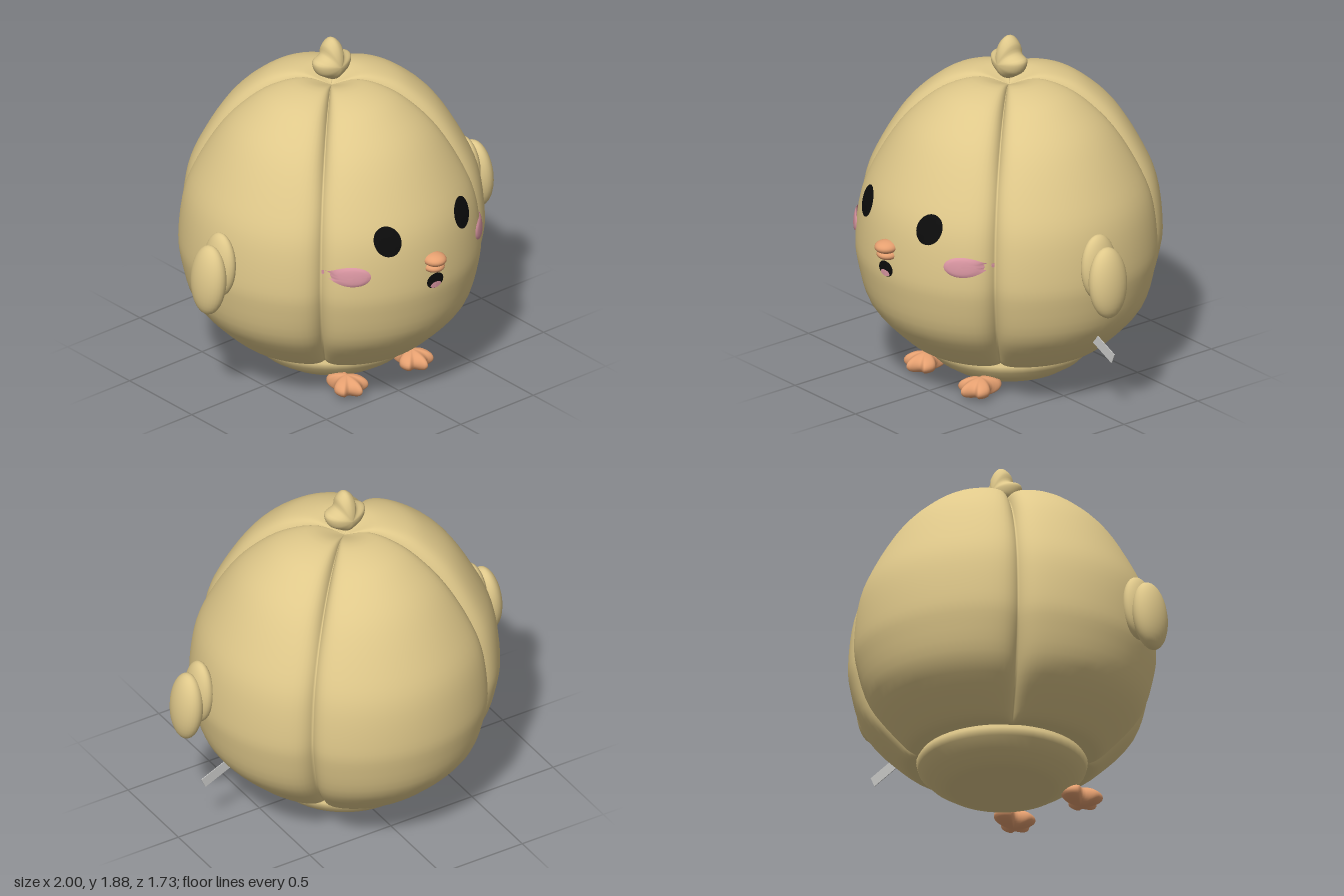
import * as THREE from 'three';

const mat = (name, color, side = THREE.FrontSide) => {
  const m = new THREE.MeshStandardMaterial({ color, side });
  m.name = name;
  return m;
};

// Closed-around surface: fn(row 0..1, column index) gives a point
function wrapGrid(rows, cols, fn) {
  const pos = [], idx = [];
  for (let j = 0; j <= rows; j++)
    for (let i = 0; i < cols; i++) pos.push(...fn(j / rows, i));
  for (let j = 0; j < rows; j++)
    for (let i = 0; i < cols; i++) {
      const k = (i + 1) % cols;
      const a = j * cols + i, b = j * cols + k, c = b + cols, d = a + cols;
      idx.push(a, b, c, a, c, d);
    }
  const g = new THREE.BufferGeometry();
  g.setAttribute('position', new THREE.Float32BufferAttribute(pos, 3));
  g.setIndex(idx);
  g.computeVertexNormals();
  return g;
}

// Stuffed cushion from the left half of a symmetric outline, top to bottom
function pillow(half, depth) {
  const mirrored = half.slice(1, -1).reverse().map(([x, y]) => [-x, y]);
  const pts = [...half, ...mirrored].map(([x, y]) => new THREE.Vector3(x, y, 0));
  const ring = new THREE.CatmullRomCurve3(pts, true).getPoints(48);
  return wrapGrid(16, 48, (v, i) => {
    const s = Math.sin(v * Math.PI);
    return [ring[i].x * s, ring[i].y * s, -depth * Math.cos(v * Math.PI)];
  });
}

const profile = (pts) => new THREE.SplineCurve(pts.map(([r, y]) => new THREE.Vector2(r, y)));
const lobe = profile([[0.38, 0.22], [0.5, 0.195], [0.6, 0.26], [0.76, 0.44], [0.82, 0.65], [0.83, 0.8],
  [0.8, 1.03], [0.72, 1.22], [0.6, 1.42], [0.47, 1.55], [0.34, 1.63], [0.17, 1.66], [0, 1.6]]);
const seam = profile([[0.38, 0.23], [0.44, 0.2], [0.51, 0.27], [0.63, 0.43], [0.71, 0.64], [0.73, 0.8],
  [0.7, 1.03], [0.62, 1.22], [0.5, 1.38], [0.37, 1.5], [0.23, 1.58], [0.1, 1.62], [0, 1.6]]);
const CZ = -0.04;

// Four puffed panels that dip to a stitched seam on each diagonal
function bodyGeometry() {
  const per = 28;
  return wrapGrid(48, per * 4, (v, i) => {
    const u = (i % per) / per;
    const w = u - 0.8 * Math.sin(2 * Math.PI * u) / (2 * Math.PI);
    const angle = (Math.floor(i / per) + 0.5 + w) * Math.PI / 2;
    const t = 2 * Math.min(w, 1 - w);
    const puff = 0.65 * (1 - Math.exp(-14 * t)) + 0.35 * (1 - (1 - t) ** 2);
    const p = seam.getPoint(v).lerp(lobe.getPoint(v), puff);
    return [p.x * Math.sin(angle), p.y, p.x * Math.cos(angle) + CZ];
  });
}

export function createModel() {
  const group = new THREE.Group();
  const plush = mat('tanPlush', 0xdfc88a);
  const orange = mat('orangeFelt', 0xe6a070);
  const black = mat('blackFelt', 0x0c0c0c, THREE.DoubleSide);
  const pink = mat('pinkFelt', 0xdb97a3, THREE.DoubleSide);
  const grey = mat('greyLabel', 0xc8c8c6);

  const add = (name, geometry, material, x = 0, y = 0, z = 0) => {
    const m = new THREE.Mesh(geometry, material);
    m.name = name;
    m.position.set(x, y, z);
    group.add(m);
    return m;
  };
  const ball = (name, material, p, r) => {
    const m = add(name, new THREE.SphereGeometry(1, 28, 18), material, ...p);
    m.scale.set(...r);
    return m;
  };

  // Body and the round base beneath it
  const body = add('body', bodyGeometry(), plush);
  const base = [[0, 0.03], [0.27, 0.03], [0.32, 0.045], [0.39, 0.09], [0.44, 0.14], [0.45, 0.18], [0.42, 0.23]];
  add('base', new THREE.LatheGeometry(base.map(([r, y]) => new THREE.Vector2(r, y)), 48), plush, 0, 0, CZ);

  // Felt patches draped over the front of the body
  const ray = new THREE.Raycaster();
  const patch = (name, material, x, y, rx, ry, lift, dome = 0) => {
    const g = new THREE.RingGeometry(0.001, 1, 32, 6);
    const p = g.attributes.position;
    for (let i = 0; i < p.count; i++) {
      const u = p.getX(i), v = p.getY(i);
      const px = x + u * rx, py = y + v * ry;
      ray.set(new THREE.Vector3(px, py, 3), new THREE.Vector3(0, 0, -1));
      const hit = ray.intersectObject(body)[0];
      const puff = dome * Math.sqrt(Math.max(0, 1 - u * u - v * v));
      p.setXYZ(i, px, py, (hit ? hit.point.z : 0.5) + lift + puff);
    }
    g.computeVertexNormals();
    add(name, g, material);
  };
  for (const [side, s] of [['left', 1], ['right', -1]]) {
    patch(side + 'Eye', black, s * 0.255, 1.055, 0.07, 0.08, 0.01);
    patch(side + 'Cheek', pink, s * 0.44, 0.88, 0.08, 0.055, 0.01, 0.012);
  }
  patch('mouth', black, 0, 0.775, 0.056, 0.042, 0.006);
  patch('tongue', pink, 0, 0.753, 0.036, 0.017, 0.01);

  // Beak
  ball('upperBeak', orange, [0, 0.9, 0.79], [0.061, 0.035, 0.065]);
  ball('lowerBeak', orange, [0, 0.858, 0.785], [0.057, 0.03, 0.056]);

  // Head tuft
  const tuft = [[0, 0.15], [-0.042, 0.115], [-0.055, 0.06], [-0.115, 0.03], [-0.1, -0.03], [-0.055, -0.065], [0, -0.09]];
  add('headTuft', pillow(tuft, 0.08), plush, 0, 1.73, CZ);

  // Wings in two stuffed layers, and three-toed feet
  const foot = [[0, 0.13], [-0.055, 0.095], [-0.045, 0.035], [-0.095, -0.015], [-0.085, -0.08],
    [-0.042, -0.075], [0, -0.13]];
  for (const [side, s] of [['left', 1], ['right', -1]]) {
    ball(side + 'WingInner', plush, [s * 0.845, 0.86, 0.045], [0.06, 0.18, 0.11]).rotation.z = s * 0.05;
    ball(side + 'WingOuter', plush, [s * 0.922, 0.795, 0.045], [0.075, 0.195, 0.115]).rotation.z = s * 0.08;
    add(side + 'Foot', pillow(foot, 0.053), orange, s * 0.225, 0.056, 0.34).rotation.x = -Math.PI / 2;
  }

  // Sewn-in side label
  add('sideLabel', new THREE.BoxGeometry(0.17, 0.06, 0.004), grey, 0.79, 0.357, -0.035).rotation.z = -0.42;

  return group;
}
